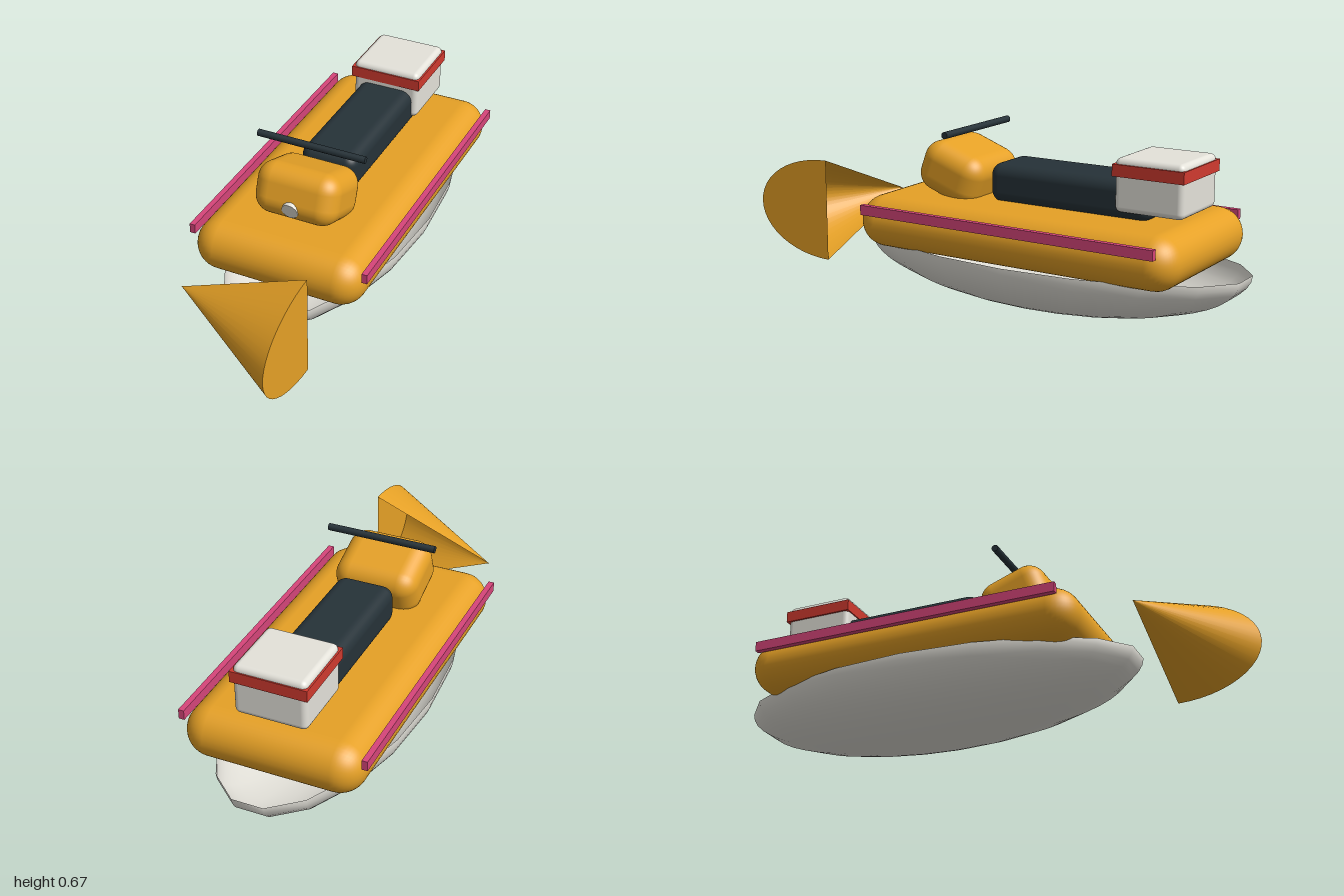
import * as THREE from 'three';
import { RoundedBoxGeometry } from 'three/addons/geometries/RoundedBoxGeometry.js';

export function createModel() {
  const model = new THREE.Group();
  model.name = 'watercraft';

  const material = (name, color, side = THREE.FrontSide) => {
    const m = new THREE.MeshStandardMaterial({ color, side });
    m.name = name;
    return m;
  };
  const yellow = material('yellow', 0xe6a126, THREE.DoubleSide);
  const white = material('offWhite', 0xe4e2da, THREE.DoubleSide);
  const dark = material('darkSlate', 0x263238);
  const red = material('red', 0xd03a2f);
  const pink = material('pink', 0xd6457a);

  const add = (name, geometry, mat, x, y, z) => {
    const mesh = new THREE.Mesh(geometry, mat);
    mesh.name = name;
    mesh.position.set(x, y, z);
    model.add(mesh);
    return mesh;
  };
  const rounded = (w, h, d, r) => new RoundedBoxGeometry(w, h, d, 5, r);

  // Open, bowl-shaped hull
  const bowl = new THREE.SphereGeometry(1, 18, 14, 0, Math.PI * 2, Math.PI / 2, Math.PI / 2);
  add('hull', bowl, white, 0, 0.225, -0.2).scale.set(0.345, 0.225, 0.812);

  // Deck with a bumper rail along each side
  add('deck', rounded(0.68, 0.201, 1.34, 0.1), yellow, 0, 0.308, -0.2);
  for (const side of [-1, 1]) {
    add(side > 0 ? 'leftRail' : 'rightRail',
      new THREE.BoxGeometry(0.022, 0.038, 1.23), pink, side * 0.348, 0.364, -0.2);
  }

  // Half-cone bow, open at the back
  const cone = new THREE.ConeGeometry(0.2, 0.5, 24, 1, false, -Math.PI / 2, Math.PI);
  const bow = add('bow', cone, yellow, 0, 0.307, 0.667);
  bow.rotation.z = Math.PI / 2;
  bow.scale.z = 0.333 / 0.2;

  // Seat
  add('seat', rounded(0.23, 0.15, 0.67, 0.045), dark, 0, 0.473, -0.335);

  // Storage box with a band round the lid
  add('storageBox', rounded(0.276, 0.197, 0.27, 0.022), white, 0, 0.5335, -0.68);
  add('lidBand', new THREE.BoxGeometry(0.29, 0.044, 0.28), red, 0, 0.588, -0.68);

  // Tilted steering console with headlight and handlebar
  add('console', rounded(0.334, 0.2, 0.27, 0.07), yellow, 0, 0.49, 0.163).rotation.x = -0.35;
  const lamp = new THREE.CylinderGeometry(0.033, 0.033, 0.04, 14);
  lamp.translate(0, -0.02, 0).rotateX(Math.PI / 2);
  add('headlight', lamp, white, 0, 0.478, 0.307).rotation.x = 0.25;
  const bar = new THREE.CylinderGeometry(0.0135, 0.0135, 0.434, 12);
  add('handlebar', bar, dark, 0, 0.655, 0.125).rotation.z = Math.PI / 2;

  return model;
}
